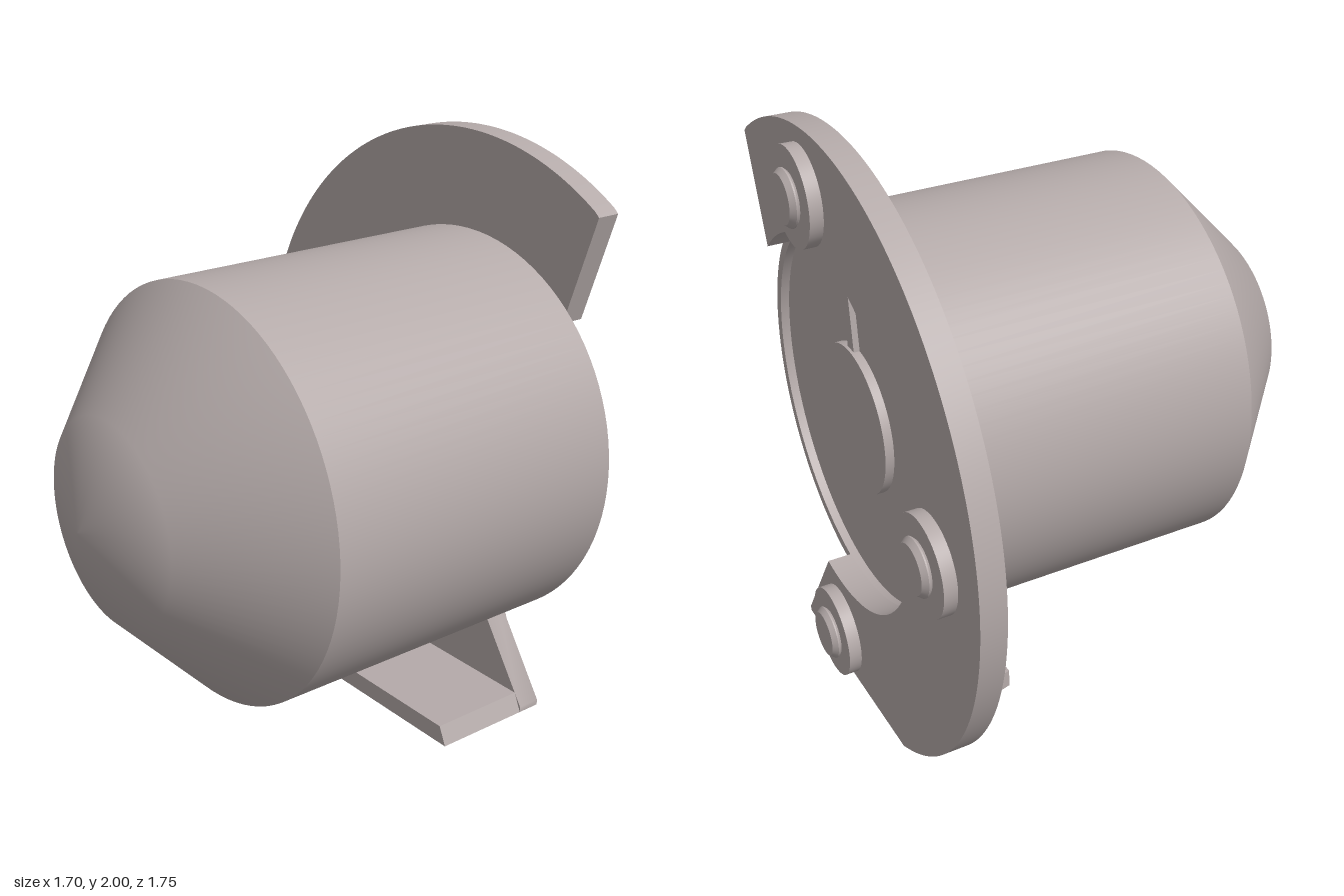
import * as THREE from 'three';
import { toCreasedNormals } from 'three/addons/utils/BufferGeometryUtils.js';

const metal = new THREE.MeshStandardMaterial({ color: 0xb4aaa9 });
metal.name = 'warm grey metal';

// Barrel axis, parallel to x
const AXIS_Y = 1, AXIS_Z = 0.2;

function part(name, geometry) {
  const mesh = new THREE.Mesh(toCreasedNormals(geometry, 0.6), metal);
  mesh.name = name;
  return mesh;
}

// Turned part around the x direction; profile points are [radius, x]
function turned(name, profile, y, z, segments = 64) {
  const points = profile.map(([r, x]) => new THREE.Vector2(r, x));
  const geometry = new THREE.LatheGeometry(points, segments);
  geometry.rotateZ(-Math.PI / 2).translate(0, y, z);
  return part(name, geometry);
}

// Flat part lying across x; shape coordinates are (-z, y)
function plate(name, shape, x, depth) {
  const geometry = new THREE.ExtrudeGeometry(shape, { depth, bevelEnabled: false, curveSegments: 72 });
  geometry.rotateY(Math.PI / 2).translate(x, 0, 0);
  return part(name, geometry);
}

export function createModel() {
  const model = new THREE.Group();
  model.name = 'dialHousing';

  // Barrel with a blunt conical back, thin rim and recessed face
  model.add(turned('barrel', [
    [0, -0.85], [0.33, -0.74], [0.675, -0.41], [0.675, 0.68],
    [0.64, 0.68], [0.64, 0.65], [0, 0.65],
  ], AXIS_Y, AXIS_Z, 96));

  // Dial knob and its tapered pointer
  model.add(turned('dialKnob', [[0.255, 0.64], [0.255, 0.68], [0, 0.68]], AXIS_Y, AXIS_Z));
  const pointer = new THREE.Shape([
    new THREE.Vector2(-AXIS_Z - 0.026, 1.24),
    new THREE.Vector2(-AXIS_Z + 0.026, 1.24),
    new THREE.Vector2(-AXIS_Z, 1.56),
  ]);
  model.add(plate('pointer', pointer, 0.64, 0.03));

  // C-shaped mounting flange
  const flange = new THREE.Shape();
  flange.moveTo(-0.735, 1.842);
  flange.absarc(-0.17, 0.955, 1.045, Math.atan2(0.885, -0.565), Math.atan2(-0.955, 0.425), true);
  flange.lineTo(-0.575, 0);
  flange.lineTo(-0.575, 0.02);
  flange.lineTo(-0.33, 0.38);
  flange.absarc(-AXIS_Z, AXIS_Y, 0.632, Math.atan2(-0.62, -0.13), Math.atan2(0.46, -0.44), false);
  flange.lineTo(-0.75, 1.82);
  model.add(plate('flange', flange, 0.68, 0.085));

  // Foot, narrowing away from the flange, with a slanted front edge
  const foot = new THREE.BoxGeometry(0.37, 0.065, 1).translate(0.505, 0.0325, 0);
  const p = foot.attributes.position;
  for (let i = 0; i < p.count; i++) {
    if (p.getZ(i) > 0) p.setZ(i, p.getY(i) > 0.03 ? 0.545 : 0.575);
    else p.setZ(i, p.getX(i) < 0.5 ? -0.16 : -0.26);
  }
  model.add(part('foot', foot));

  // Three bolts, each a washer with a chamfered head
  for (const [y, z] of [[1.8, 0.205], [0.985, -0.61], [0.185, 0.2]]) {
    const bolt = new THREE.Group();
    bolt.name = 'bolt';
    bolt.add(turned('washer', [
      [0, 0.777], [0.158, 0.777], [0.158, 0.82], [0, 0.82],
    ], y, z, 48));
    bolt.add(turned('boltHead', [
      [0.08, 0.815], [0.092, 0.828], [0.092, 0.833], [0.078, 0.85], [0, 0.85],
    ], y, z, 32));
    model.add(bolt);
  }

  return model;
}
